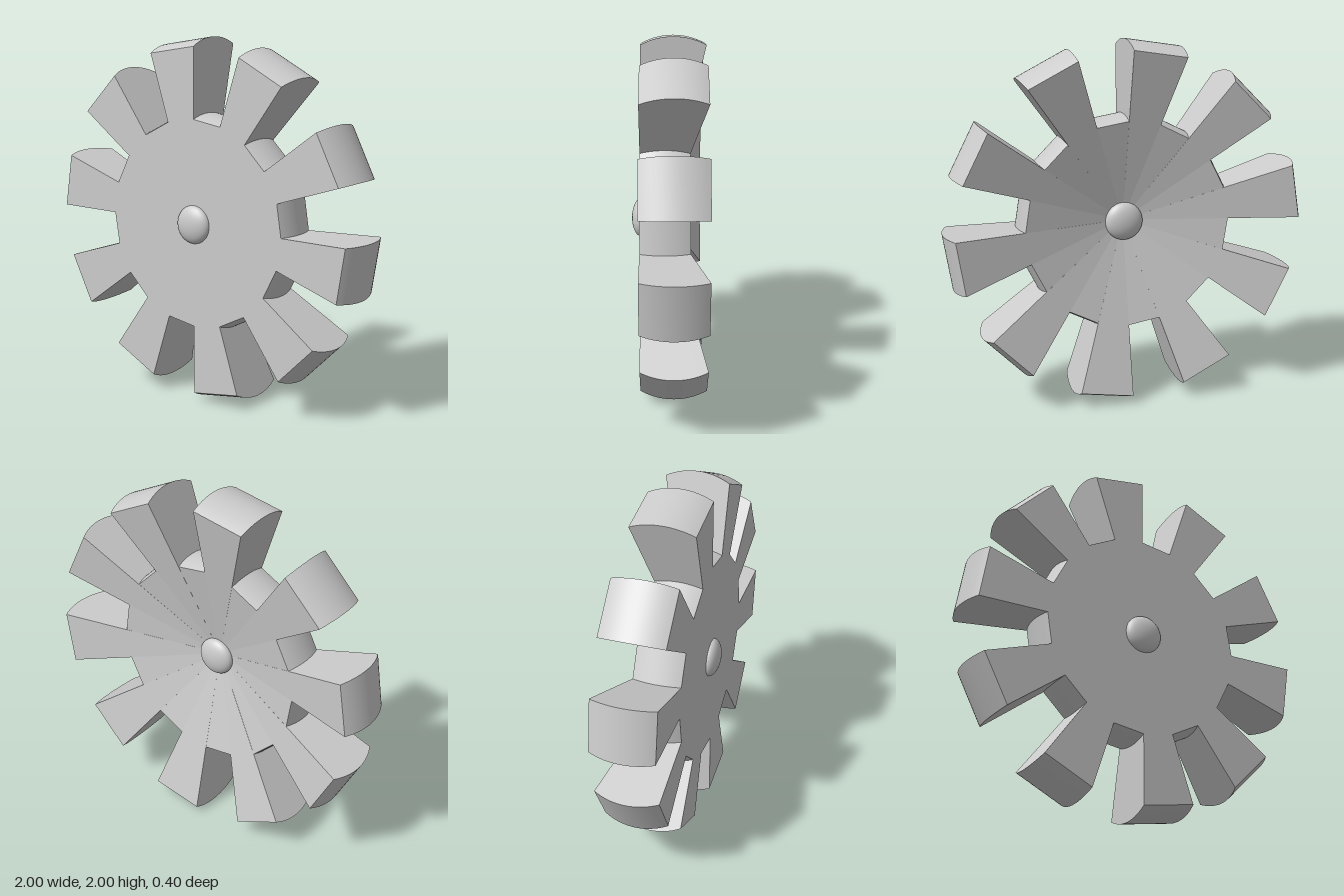
import * as THREE from 'three';
import { toCreasedNormals } from 'three/addons/utils/BufferGeometryUtils.js';

const STEP = Math.PI / 10; // each sector spans 18 degrees
const FRONT = 0.15;
const CENTRE_Y = 1;

// Wedge with a flat front, a dished back and a bulging rim, swept over one sector
function sector(startAngle, rimR, peakR, backZ) {
  const half = (FRONT - backZ) / 2;
  const midZ = (FRONT + backZ) / 2;
  const sag = peakR - rimR;
  const arcR = (half * half + sag * sag) / (2 * sag);
  const spread = Math.asin(half / arcR);
  const points = [new THREE.Vector2(0.004, FRONT), new THREE.Vector2(0.004, 0.02)];
  for (let i = 0; i <= 14; i++) {
    const a = -spread + (2 * spread * i) / 14;
    points.push(new THREE.Vector2(peakR - arcR + arcR * Math.cos(a), midZ + arcR * Math.sin(a)));
  }
  const geo = new THREE.ExtrudeGeometry(new THREE.Shape(points), { depth: 1, steps: 1, bevelEnabled: false });
  // Turn the straight sweep into a turn about the wheel axis
  const p = geo.attributes.position;
  for (let i = 0; i < p.count; i++) {
    const r = p.getX(i), z = p.getY(i);
    const a = startAngle + STEP * (1 - p.getZ(i));
    p.setXYZ(i, r * Math.cos(a), r * Math.sin(a), z);
  }
  geo.deleteAttribute('uv');
  return toCreasedNormals(geo, 0.5);
}

export function createModel() {
  const group = new THREE.Group();
  group.name = 'paddleWheel';
  const material = new THREE.MeshStandardMaterial({ color: 0xcccccc });
  const add = (geo, name, z = 0) => {
    const mesh = new THREE.Mesh(geo, material);
    mesh.name = name;
    mesh.position.set(0, CENTRE_Y, z);
    group.add(mesh);
    return mesh;
  };

  // Long blades alternate with short disc sectors
  for (let i = 0; i < 10; i++) {
    add(sector((2 * i + 1) * STEP, 0.955, 1, -0.2), 'blade' + (i + 1));
    add(sector(2 * i * STEP, 0.57, 0.595, -0.11), 'discSector' + (i + 1));
  }

  // Domed hub caps on both faces
  for (const [name, z] of [['frontHubCap', FRONT], ['backHubCap', -0.01]]) {
    const cap = add(new THREE.SphereGeometry(0.105, 32, 20), name, z);
    cap.scale.z = 0.48;
  }
  return group;
}
